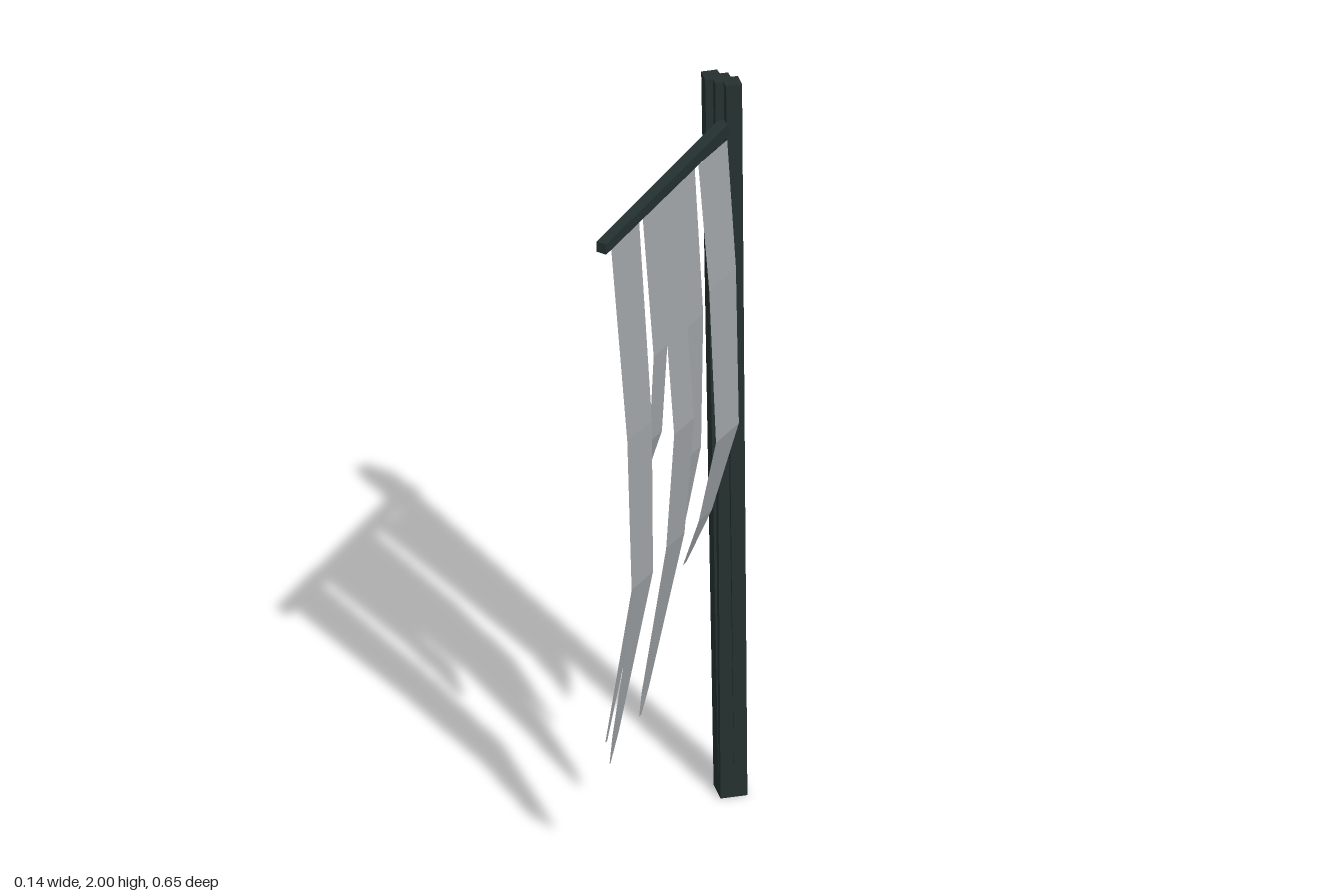
import * as THREE from 'three';

const wood = new THREE.MeshStandardMaterial({ color: 0x24302f, flatShading: true });
wood.name = 'darkWood';
const cloth = new THREE.MeshStandardMaterial({ color: 0xa0a5a8, flatShading: true, side: THREE.DoubleSide });
cloth.name = 'greyCloth';

// Ragged ribbon: each row is [y, x, zBack, zFront]
function ribbon(name, rows) {
  const pos = [], index = [];
  rows.forEach(([y, x, z0, z1], i) => {
    pos.push(x, y, z0, x, y, z1);
    if (i) {
      const a = 2 * i - 2;
      index.push(a, a + 1, a + 2, a + 1, a + 3, a + 2);
    }
  });
  const g = new THREE.BufferGeometry();
  g.setAttribute('position', new THREE.Float32BufferAttribute(pos, 3));
  g.setIndex(index);
  g.computeVertexNormals();
  const mesh = new THREE.Mesh(g, cloth);
  mesh.name = name;
  return mesh;
}

// Leaning post: ridged outline at the top, plain diamond at the foot
function makePost() {
  const half = [[-0.07, 0], [-0.042, 0.028], [-0.027, 0.016], [-0.012, 0.03], [0.003, 0.016], [0.017, 0.028], [0.045, 0]];
  const back = half.slice(1, -1).reverse().map(([x, z]) => [x, -z]);
  const outline = [...half, ...back].map(([x, z]) => new THREE.Vector2(x, z));
  const g = new THREE.ExtrudeGeometry(new THREE.Shape(outline), { depth: 2, bevelEnabled: false });
  g.rotateX(-Math.PI / 2);
  const p = g.attributes.position;
  for (let i = 0; i < p.count; i++) {
    if (p.getY(i) > 1) continue;
    const dx = (p.getX(i) + 0.0125) * 0.0475 / 0.0575;
    const z = p.getZ(i);
    p.setX(i, 0.0125 + dx);
    p.setZ(i, Math.abs(z) < 1e-6 ? 0 : Math.sign(z) * (0.0475 - Math.abs(dx)));
  }
  g.translate(0, 0, -0.275);
  g.computeVertexNormals();
  const mesh = new THREE.Mesh(g, wood);
  mesh.name = 'post';
  return mesh;
}

// Sloping crossbar, slightly thicker at the post
function makeCrossbar() {
  const g = new THREE.BoxGeometry(0.03, 0.034, 0.635);
  const p = g.attributes.position;
  for (let i = 0; i < p.count; i++) {
    const t = p.getZ(i) > 0 ? 1 : 0;
    p.setXYZ(i, p.getX(i) * (1 - 0.1 * t) + 0.007 + 0.003 * t,
      p.getY(i) * (1 - 0.15 * t) + 1.882 - 0.042 * t, t ? 0.325 : -0.312);
  }
  g.computeVertexNormals();
  const mesh = new THREE.Mesh(g, wood);
  mesh.name = 'crossbar';
  return mesh;
}

export function createModel() {
  const model = new THREE.Group();
  model.name = 'tatteredBanner';
  model.add(makePost(), makeCrossbar());

  const banner = new THREE.Group();
  banner.name = 'banner';
  banner.add(
    // Outer strip with a forked end
    ribbon('outerStrip', [[1.835, 0.02, 0.165, 0.297], [1.29, 0.06, 0.172, 0.287], [0.87, 0.068, 0.18, 0.28]]),
    ribbon('outerLongTail', [[0.87, 0.068, 0.18, 0.262], [0.42, -0.004, 0.219, 0.25], [0.33, -0.02, 0.232, 0.237]]),
    ribbon('outerShortTail', [[0.87, 0.068, 0.235, 0.28], [0.4, -0.02, 0.248, 0.257]]),
    // Middle strip torn into three tails
    ribbon('middleStrip', [[1.85, 0.02, -0.095, 0.15], [1.45, 0.047, -0.09, 0.142]]),
    ribbon('middleFrontTail', [[1.45, 0.047, 0.078, 0.142], [1.2, 0.03, 0.075, 0.134], [1.02, -0.02, 0.092, 0.109]]),
    ribbon('middleLongTail', [[1.45, 0.047, -0.016, 0.078], [1.2, 0.065, -0.018, 0.076], [0.87, 0.04, -0.014, 0.072],
      [0.42, -0.045, 0.012, 0.046], [0.35, -0.055, 0.03, 0.04]]),
    ribbon('middleBackTail', [[1.45, 0.047, -0.09, -0.016], [1.08, 0.045, -0.083, -0.022], [0.67, -0.02, -0.051, -0.046]]),
    // Inner strip beside the post
    ribbon('innerStrip', [[1.85, 0.02, -0.247, -0.112], [1.5, 0.047, -0.243, -0.118], [1.07, 0.06, -0.235, -0.128],
      [0.82, 0, -0.208, -0.147], [0.67, -0.055, -0.18, -0.165]])
  );
  model.add(banner);
  return model;
}
